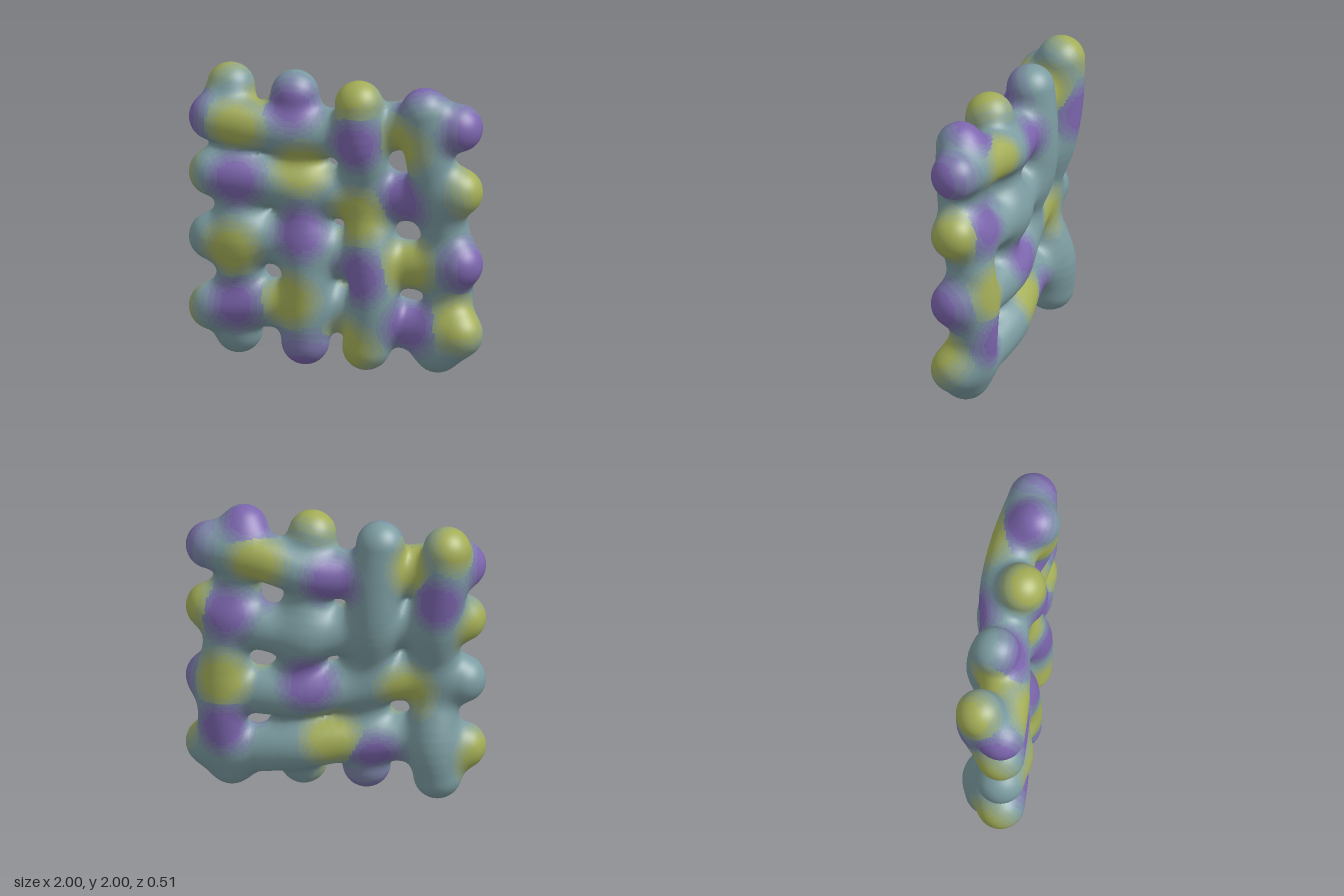
import * as THREE from 'three';

const R = 0.16;      // strand radius
const BLEND = 0.1;   // softness of the joints between strands
const CELL = 0.0225; // skin resolution
const MIN = [-1.05, -0.05, -0.3], SIZE = [95, 95, 28];

// Crossbars share one gentle bow in depth: x, z
const BOW = new THREE.CatmullRomCurve3([[-0.84, 0.07], [-0.65, 0.065], [-0.45, 0.045], [-0.2, 0], [0, -0.045],
  [0.25, -0.08], [0.5, -0.055], [0.7, -0.01], [0.84, 0.015]].map(([x, z]) => new THREE.Vector3(x, 0, z))).getPoints(80);
const bowAt = x => BOW.reduce((a, b) => Math.abs(b.x - x) < Math.abs(a.x - x) ? b : a).z;
const bar = points => points.map(([x, y]) => [x, y, bowAt(x)]);

// Centre lines of the woven strands
const STRANDS = {
  upright1: [[-0.76, 1.84, -0.08], [-0.73, 1.55, -0.08], [-0.68, 1.27, -0.05], [-0.66, 0.82, 0.08], [-0.67, 0.38, -0.05], [-0.69, 0.16, -0.03]],
  upright2: [[-0.31, 1.84, -0.05], [-0.29, 1.6, -0.08], [-0.26, 1.27, -0.08], [-0.21, 0.86, 0.05], [-0.19, 0.45, 0.08], [-0.20, 0.16, 0.08]],
  upright3: [[0.16, 1.84, 0.05], [0.17, 1.6, 0.06], [0.20, 1.18, -0.06], [0.25, 0.75, 0.06], [0.27, 0.42, 0.08], [0.22, 0.16, 0.08]],
  upright4: [[0.62, 1.84, 0.07], [0.65, 1.5, 0.05], [0.71, 1.1, -0.03], [0.74, 0.78, -0.08], [0.74, 0.42, -0.07], [0.69, 0.16, 0]],
  crossbar1: bar([[-0.84, 1.67], [-0.6, 1.64], [-0.27, 1.6], [0, 1.6], [0.2, 1.63], [0.5, 1.7], [0.84, 1.73]]),
  crossbar2: bar([[-0.84, 1.28], [-0.6, 1.26], [-0.25, 1.22], [0, 1.18], [0.2, 1.17], [0.55, 1.2], [0.84, 1.28]]),
  crossbar3: bar([[-0.84, 0.83], [-0.6, 0.85], [-0.22, 0.81], [0, 0.76], [0.2, 0.73], [0.58, 0.72], [0.84, 0.77]]),
  crossbar4: bar([[-0.84, 0.34], [-0.62, 0.38], [-0.2, 0.39], [0, 0.38], [0.22, 0.34], [0.58, 0.28], [0.84, 0.28]]),
};

// Soft colour patches
const BASE = new THREE.Color(0x7b9ba0);
const PATCHES = [
  { color: new THREE.Color(0x7c66ae), spots: [
    [-0.98, 1.67, 0.07], [-0.65, 1.28, 0.2], [-0.3, 1.78, 0.05], [-0.2, 0.95, 0.2], [0.17, 1.6, 0.2], [0.2, 0.68, 0.2],
    [0.5, 1.22, 0.05], [0.9, 1.73, 0.05], [0.9, 0.77, 0.05], [-0.65, 0.4, 0.15], [-0.2, 0.12, 0.1], [0.53, 0.33, 0.1],
    [0.58, 1.94, 0], [-0.72, 1.5, -0.22], [0.7, 1.3, -0.12], [0.72, 0.5, -0.22], [0.15, 0.85, -0.2], [-0.3, 0.3, -0.2], [0, 1.6, -0.2]] },
  { color: new THREE.Color(0xa3ad57), spots: [
    [-0.65, 1.66, 0.22], [-0.22, 1.38, 0.1], [0.14, 1.93, 0.1], [0.52, 1.62, 0.1], [0.93, 1.3, 0], [0.17, 1.07, 0.1],
    [0.52, 0.75, 0.1], [-0.67, 0.8, 0.22], [-0.28, 0.48, 0.2], [0.14, 0.18, 0.17], [0.86, 0.38, 0.08], [-0.98, 1.24, 0],
    [-0.98, 0.3, 0], [-0.5, 0.8, -0.18], [-0.53, 1.7, -0.05], [0.73, 0.85, -0.22], [0, 0.45, -0.18], [0.5, 1.72, -0.2], [-0.85, 1.92, -0.15]] },
];
const LEVELS = 4;

const strands = Object.entries(STRANDS).map(([name, pts]) =>
  ({ name, line: new THREE.CatmullRomCurve3(pts.map(p => new THREE.Vector3(...p))).getSpacedPoints(32) }));

// Distance from a point to a strand's surface
function strandDistance(line, x, y, z) {
  let best = Infinity;
  for (let i = 0; i < line.length - 1; i++) {
    const a = line[i], b = line[i + 1];
    const dx = b.x - a.x, dy = b.y - a.y, dz = b.z - a.z;
    const px = x - a.x, py = y - a.y, pz = z - a.z;
    const t = Math.min(1, Math.max(0, (px * dx + py * dy + pz * dz) / (dx * dx + dy * dy + dz * dz)));
    const ex = px - t * dx, ey = py - t * dy, ez = pz - t * dz;
    best = Math.min(best, ex * ex + ey * ey + ez * ez);
  }
  return Math.sqrt(best) - R;
}

// All strands melted together: negative inside, positive outside
function field(x, y, z) {
  let d = 10;
  for (const { line } of strands) {
    const s = strandDistance(line, x, y, z);
    const h = Math.max(BLEND - Math.abs(d - s), 0) / BLEND;
    d = Math.min(d, s) - h * h * BLEND / 4;
  }
  return d;
}

function slope(p) {
  const e = 0.003, f = field(p.x, p.y, p.z);
  const g = new THREE.Vector3(field(p.x + e, p.y, p.z) - f, field(p.x, p.y + e, p.z) - f, field(p.x, p.y, p.z + e) - f);
  return { f, normal: g.normalize() };
}

// Patch hue and strength at a point, as a shade number (0 = base colour)
function shadeAt(p) {
  let best = 0, shade = 0;
  PATCHES.forEach(({ spots }, k) => spots.forEach(([x, y, z]) => {
    const w = Math.min(1, (0.25 - Math.hypot(p.x - x, p.y - y, p.z - z)) / 0.14);
    const level = Math.round(w * LEVELS);
    if (w > best && level > 0) { best = w; shade = k * LEVELS + level; }
  }));
  return shade;
}

function shadeColor(shade) {
  if (shade === 0) return BASE;
  const k = Math.floor((shade - 1) / LEVELS);
  return BASE.clone().lerp(PATCHES[k].color, ((shade - 1) % LEVELS + 1) / LEVELS);
}

// Skin of the melted strands: one point per crossed grid cell, one quad per crossed grid edge
function buildSkin() {
  const [nx, ny, nz] = SIZE, step = [1, nx, nx * ny];
  const values = new Float32Array(nx * ny * nz);
  const at = (i, axis) => MIN[axis] + i * CELL;
  for (let k = 0, n = 0; k < nz; k++) for (let j = 0; j < ny; j++) for (let i = 0; i < nx; i++, n++)
    values[n] = field(at(i, 0), at(j, 1), at(k, 2));

  const points = [], normals = [], cellPoint = new Map(), quads = [];
  const pointOf = (cell) => {
    if (cellPoint.has(cell)) return cellPoint.get(cell);
    const i = cell % nx, j = Math.floor(cell / nx) % ny, k = Math.floor(cell / step[2]);
    const p = new THREE.Vector3(at(i + 0.5, 0), at(j + 0.5, 1), at(k + 0.5, 2));
    for (let n = 0; n < 3; n++) {
      const { f, normal } = slope(p);
      p.addScaledVector(normal, -f);
    }
    points.push(p);
    normals.push(slope(p).normal);
    cellPoint.set(cell, points.length - 1);
    return points.length - 1;
  };
  for (let k = 1; k < nz - 1; k++) for (let j = 1; j < ny - 1; j++) for (let i = 1; i < nx - 1; i++) {
    const n = i + j * nx + k * step[2];
    for (let a = 0; a < 3; a++) {
      const inside = values[n] < 0;
      if (inside === values[n + step[a]] < 0) continue;
      const b = step[(a + 1) % 3], c = step[(a + 2) % 3];
      const quad = [n - b - c, n - c, n, n - b].map(pointOf);
      quads.push(inside ? quad : quad.reverse());
    }
  }
  return { points, normals, quads };
}

export function createModel() {
  const model = new THREE.Group();
  model.name = 'wovenLattice';
  const { points, normals, quads } = buildSkin();
  const position = new THREE.Float32BufferAttribute(points.flatMap(p => p.toArray()), 3);
  const normal = new THREE.Float32BufferAttribute(normals.flatMap(n => n.toArray()), 3);

  // Give every face to its nearest strand and its shade
  const parts = strands.map(() => new Map());
  for (const [a, b, c, d] of quads) {
    const mid = points[a].clone().add(points[c]).multiplyScalar(0.5);
    const reach = strands.map(s => strandDistance(s.line, mid.x, mid.y, mid.z));
    const faces = parts[reach.indexOf(Math.min(...reach))], shade = shadeAt(mid);
    if (!faces.has(shade)) faces.set(shade, []);
    faces.get(shade).push(a, b, c, a, c, d);
  }
  strands.forEach(({ name }, s) => {
    const group = new THREE.Group();
    group.name = name;
    for (const [shade, index] of parts[s]) {
      const geometry = new THREE.BufferGeometry();
      geometry.setAttribute('position', position);
      geometry.setAttribute('normal', normal);
      geometry.setIndex(index);
      const mesh = new THREE.Mesh(geometry, new THREE.MeshStandardMaterial({ color: shadeColor(shade) }));
      mesh.name = shade === 0 ? name + 'Skin' : name + 'Patch' + shade;
      group.add(mesh);
    }
    model.add(group);
  });
  return model;
}
